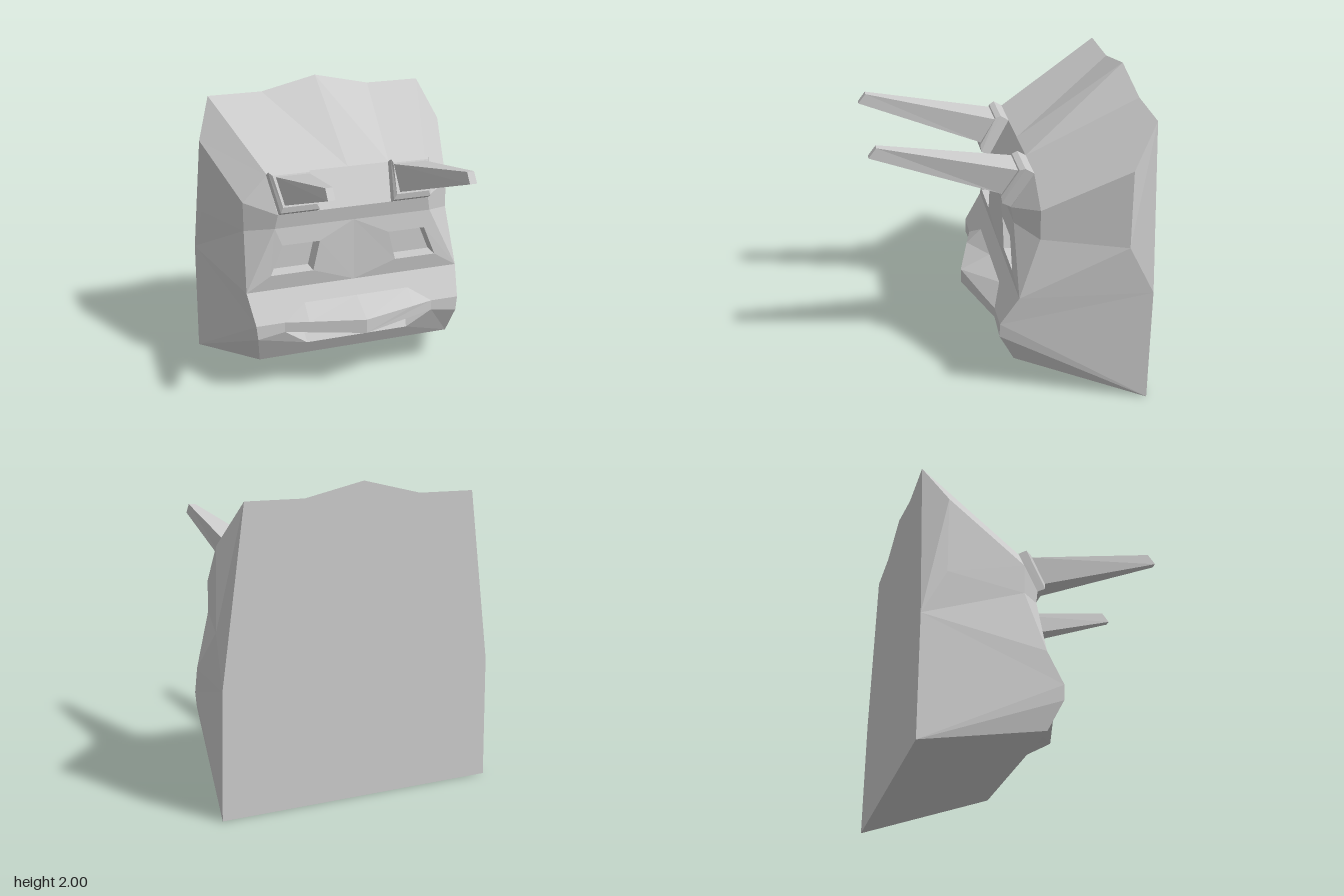
import * as THREE from 'three';

const material = new THREE.MeshStandardMaterial({ color: 0xcccccc, flatShading: true });

// Flat-shaded mesh from polygons, each fanned from its first corner
function polyMesh(name, polygons) {
  const pos = [];
  for (const p of polygons)
    for (let i = 1; i < p.length - 1; i++) pos.push(...p[0], ...p[i], ...p[i + 1]);
  const geo = new THREE.BufferGeometry();
  geo.setAttribute('position', new THREE.Float32BufferAttribute(pos, 3));
  geo.computeVertexNormals();
  const mesh = new THREE.Mesh(geo, material);
  mesh.name = name;
  return mesh;
}

const mirror = (polys) => polys.map((p) => p.map(([x, y, z]) => [-x, y, z]).reverse());
const both = (polys) => [...polys, ...mirror(polys)];
// Quads joining two loops of corners
const band = (a, b) => a.map((p, i) => {
  const j = (i + 1) % a.length;
  return [p, a[j], b[j], b[i]];
});
const loft = (rings) => [
  ...rings.slice(1).flatMap((r, i) => band(rings[i], r)),
  rings[rings.length - 1],
];
// Four-cornered ring leaning back: low edge [y, z, x0, x1], high edge likewise
const ring = ([yl, zl, a, b], [yh, zh, c, d]) => [[a, yl, zl], [b, yl, zl], [d, yh, zh], [c, yh, zh]];
const mid = (y, z) => [0, y, z];

export function createModel() {
  const group = new THREE.Group();
  group.name = 'hornedHead';

  // Cheek column from jaw to brow
  const jaw = [0.7, 0.24, -0.01], cheekLow = [0.73, 0.44, 0.09], cheek = [0.74, 0.54, 0.09];
  const cheekTop = [0.77, 0.74, -0.03], temple = [0.74, 1.14, -0.165], templeTop = [0.74, 1.34, -0.165];
  const browLow = [0.56, 1.18, -0.03], brow = [0.54, 1.28, -0.015], browTop = [0.57, 1.52, -0.155];
  const browMid = [0.3, 1.52, -0.155];
  // Side and back corners
  const sideLow = [0.91, 1.12, -0.7], sideTop = [0.9, 1.64, -0.7];
  const backLow = [0.95, 0, -0.86], backSide = [0.94, 0.8, -0.86], backTop = [0.79, 1.91, -0.86];
  const crown = [0.4, 1.91, -0.86], peak = mid(2, -0.86), heel = mid(0, -0.86);
  // Lip and mouth corners
  const lipRoot = [0.38, 0.64, 0.03], lipEdge = [0.38, 0.54, 0.135], lipEnd = [0.54, 0.54, 0.09];
  const mouthEnd = [0.54, 0.47, 0.09], mouthIn = [0.38, 0.42, -0.01], mouthLow = [0.37, 0.34, 0.04];

  // Skull shell: sides, top, back, base
  group.add(polyMesh('skull', both([
    [jaw, backLow, cheekLow], [cheekLow, backLow, cheek], [cheek, backLow, backSide],
    [cheek, backSide, cheekTop], [cheekTop, backSide, sideLow, temple],
    [temple, sideLow, sideTop, templeTop], [sideLow, backSide, backTop, sideTop],
    [templeTop, sideTop, backTop, browTop],
    [browTop, backTop, crown, browMid], [browMid, crown, peak, mid(1.52, -0.155)],
    [heel, peak, crown, backTop, backSide, backLow],
    [heel, backLow, jaw, mid(0.24, -0.01)],
  ])));

  // Brow ridge and temples
  group.add(polyMesh('brow', both([
    [mid(1.28, -0.015), brow, browTop, mid(1.52, -0.155)],
    [mid(1.18, -0.03), browLow, brow, mid(1.28, -0.015)],
    [browLow, temple, templeTop, brow], [brow, templeTop, browTop], [cheekTop, temple, browLow],
  ])));

  // Face band pierced by recessed eye sockets
  const eye = ring([0.85, -0.015, 0.3, 0.6], [1.06, -0.015, 0.25, 0.515]);
  const socket = eye.map(([x, y, z]) => [x, y, z - 0.12]);
  group.add(polyMesh('eyeBand', both(
    band([mid(0.74, -0.03), cheekTop, browLow, mid(1.18, -0.03)], eye))));
  group.add(polyMesh('eyeSockets', both([...band(eye, socket), socket])));

  // Muzzle around the lip, and the chin
  group.add(polyMesh('muzzle', both([
    [mid(0.64, 0.03), lipRoot, cheekTop, mid(0.74, -0.03)],
    [lipEnd, cheek, cheekTop, lipRoot], [mouthEnd, cheekLow, cheek, lipEnd],
    [mid(0.24, -0.01), jaw, mouthLow, mid(0.34, 0.04)], [jaw, cheekLow, mouthEnd, mouthLow],
  ])));

  // Pointed upper lip
  const lipTip = mid(0.54, 0.235), lipTipLow = mid(0.44, 0.235);
  group.add(polyMesh('upperLip', both([
    [lipTip, lipEdge, lipRoot, mid(0.64, 0.03)], [lipEdge, lipEnd, lipRoot],
    [lipTipLow, mouthEnd, lipEnd, lipEdge, lipTip],
    [mid(0.42, -0.01), mouthIn, mouthEnd, lipTipLow],
  ])));

  // Mouth recess
  group.add(polyMesh('mouth', both([
    [mid(0.34, 0.04), mouthLow, mouthIn, mid(0.42, -0.01)], [mouthLow, mouthEnd, mouthIn],
  ])));

  // Horns on bevelled base plates
  const plate = loft([
    ring([1.28, -0.016, 0.265, 0.535], [1.52, -0.156, 0.295, 0.575]),
    ring([1.31, 0.04, 0.265, 0.535], [1.555, -0.1, 0.295, 0.575]),
    ring([1.35, 0.045, 0.285, 0.52], [1.54, -0.065, 0.3, 0.555]),
  ]);
  const horn = loft([
    ring([1.36, 0.035, 0.31, 0.505], [1.53, -0.065, 0.3, 0.535]),
    ring([1.66, 0.86, 0.433, 0.48], [1.725, 0.81, 0.433, 0.48]),
  ]);
  for (const [side, f] of [['left', (p) => p], ['right', mirror]]) {
    group.add(polyMesh(side + 'HornPlate', f(plate)), polyMesh(side + 'Horn', f(horn)));
  }
  return group;
}
